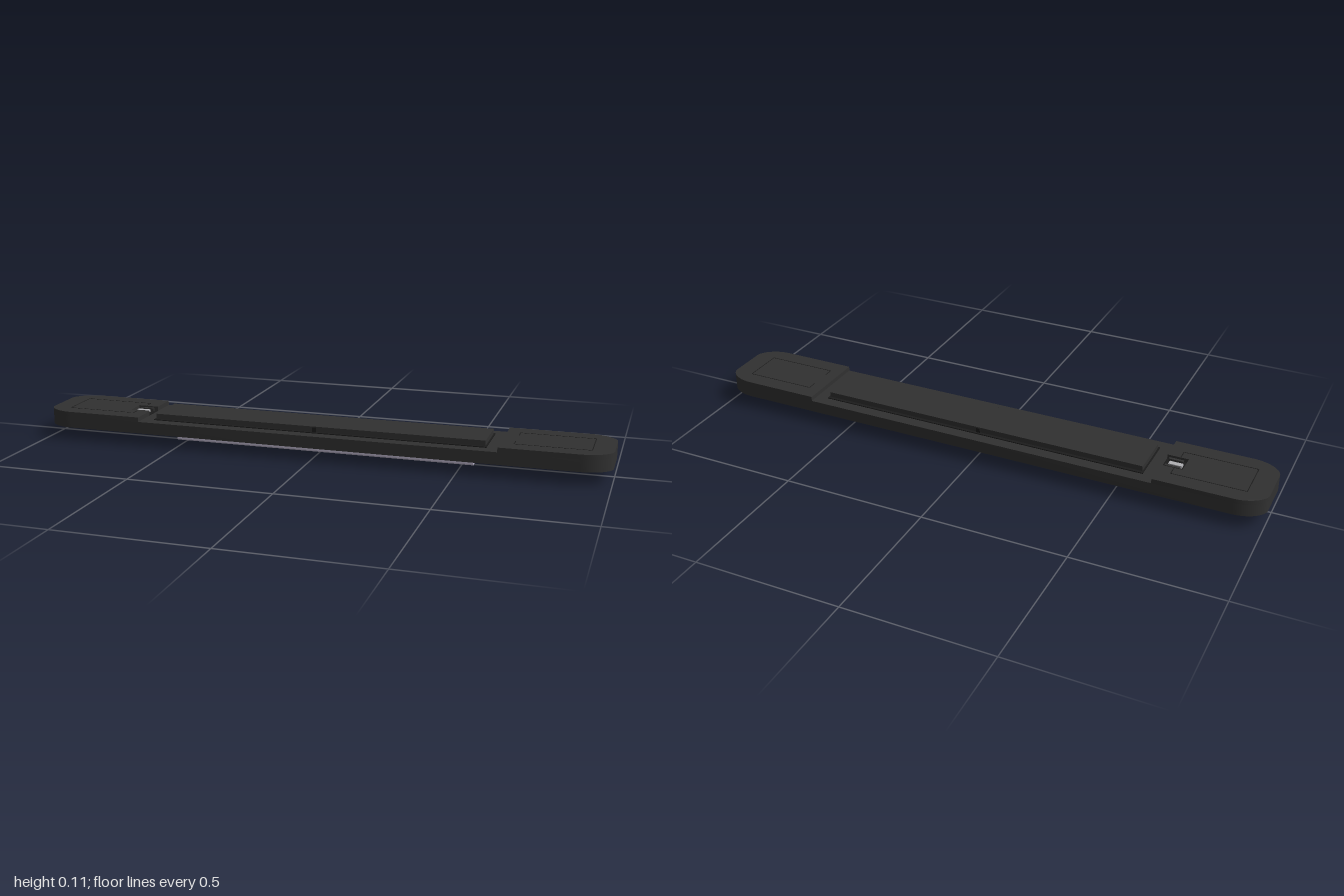
import * as THREE from 'three';
import { toCreasedNormals } from 'three/addons/utils/BufferGeometryUtils.js';

const mat = (name, color) => new THREE.MeshStandardMaterial({ name, color });

export function createModel() {
  const housing = mat('charcoal plastic', 0x313131);
  const seam = mat('dark seam', 0x1c1c1c);
  const lens = mat('pale lilac diffuser', 0xbcb5cb);
  const metal = mat('light metal', 0xb0b0b4);
  const group = new THREE.Group();
  group.name = 'barLight';

  const add = (name, geo, material, x = 0, y = 0, z = 0) => {
    const m = new THREE.Mesh(geo, material);
    m.name = name;
    m.position.set(x, y, z);
    group.add(m);
    return m;
  };
  const box = (name, material, x0, x1, y0, y1, z0, z1) =>
    add(name, new THREE.BoxGeometry(x1 - x0, y1 - y0, z1 - z0), material,
      (x0 + x1) / 2, (y0 + y1) / 2, (z0 + z1) / 2);
  // Extrude a plan-view shape upwards from y0 to y1
  const slab = (name, shape, y0, y1, material) => {
    const g = new THREE.ExtrudeGeometry(shape, { depth: y1 - y0, bevelEnabled: false, curveSegments: 12 });
    g.rotateX(-Math.PI / 2);
    return add(name, toCreasedNormals(g, 0.5), material, 0, y0, 0);
  };

  const W = 0.13, RX = 0.1, RZ = 0.065, STEP = 0.635, DECK = 0.087, TOP = 0.103;

  // Rounded outer end, running from the lower to the upper side (s = 1) or back (s = -1)
  const roundEnd = (shape, s) => {
    shape.lineTo(s * (1 - RX), -s * W);
    shape.bezierCurveTo(s * (1 - RX * 0.4), -s * W, s, -s * (W - RZ * 0.6), s, -s * (W - RZ));
    shape.lineTo(s, s * (W - RZ));
    shape.bezierCurveTo(s, s * (W - RZ * 0.6), s * (1 - RX * 0.4), s * W, s * (1 - RX), s * W);
  };

  // Long lower body
  const body = new THREE.Shape();
  body.moveTo(0, -W);
  roundEnd(body, 1);
  roundEnd(body, -1);
  body.closePath();
  slab('lowerBody', body, 0.045, DECK, housing);

  // Raised end caps; the right one has a notch for the connector
  for (const s of [1, -1]) {
    const cap = new THREE.Shape();
    cap.moveTo(s * STEP, -s * W);
    roundEnd(cap, s);
    cap.lineTo(s * STEP, s * W);
    if (s < 0) {
      cap.lineTo(-STEP, -0.035);
      cap.lineTo(-0.708, -0.035);
      cap.lineTo(-0.708, 0.035);
      cap.lineTo(-STEP, 0.035);
    }
    cap.closePath();
    slab(s > 0 ? 'leftEndCap' : 'rightEndCap', cap, DECK, TOP, housing);

    // Fine rectangular seam on each cap
    const a = 0.68, b = 0.93, h = 0.072, t = 0.0015, y0 = TOP - 0.001, y1 = TOP + 0.0005;
    const line = (xa, xb, za, zb) =>
      box('capSeam', seam, Math.min(s * xa, s * xb), Math.max(s * xa, s * xb), y0, y1, za, zb);
    for (const z of [-h, h]) line(a, b, z - t, z + t);
    line(b - t, b + t, -h, h);
    for (const d of [-1, 1]) line(a - t, a + t, Math.min(d * h, d * 0.038), Math.max(d * h, d * 0.038));
  }

  // Connector in the notch
  box('connectorRecess', seam, -0.707, -STEP, DECK, DECK + 0.002, -0.034, 0.034);
  box('connectorPin', metal, -0.698, -0.652, DECK, 0.098, -0.009, 0.009);
  for (const z of [-0.022, 0.022]) box('connectorCheek', housing, -0.695, -0.645, DECK, 0.1, z - 0.005, z + 0.005);

  // Long central cover with a stepped rim
  box('coverRim', seam, -0.593, 0.593, DECK - 0.004, 0.09, -0.089, 0.089);
  box('centreCover', housing, -0.588, 0.588, DECK, 0.108, -0.078, 0.078);
  for (const z of [-0.078, 0.078]) box('coverClip', seam, -0.007, 0.007, 0.09, 0.106, z - 0.004, z + 0.004);

  // Light diffuser underneath, slightly chamfered along its lower edges
  const section = new THREE.Shape();
  [[-0.0145, 0.05], [-0.0145, 0.004], [-0.0125, 0], [0.0125, 0], [0.0145, 0.004], [0.0145, 0.05]]
    .forEach(([x, y], i) => (i ? section.lineTo(x, y) : section.moveTo(x, y)));
  section.closePath();
  const bar = new THREE.ExtrudeGeometry(section, { depth: 1.076, bevelEnabled: false });
  bar.translate(0, 0, -0.538);
  bar.rotateY(Math.PI / 2);
  add('lightDiffuser', bar, lens);

  return group;
}
